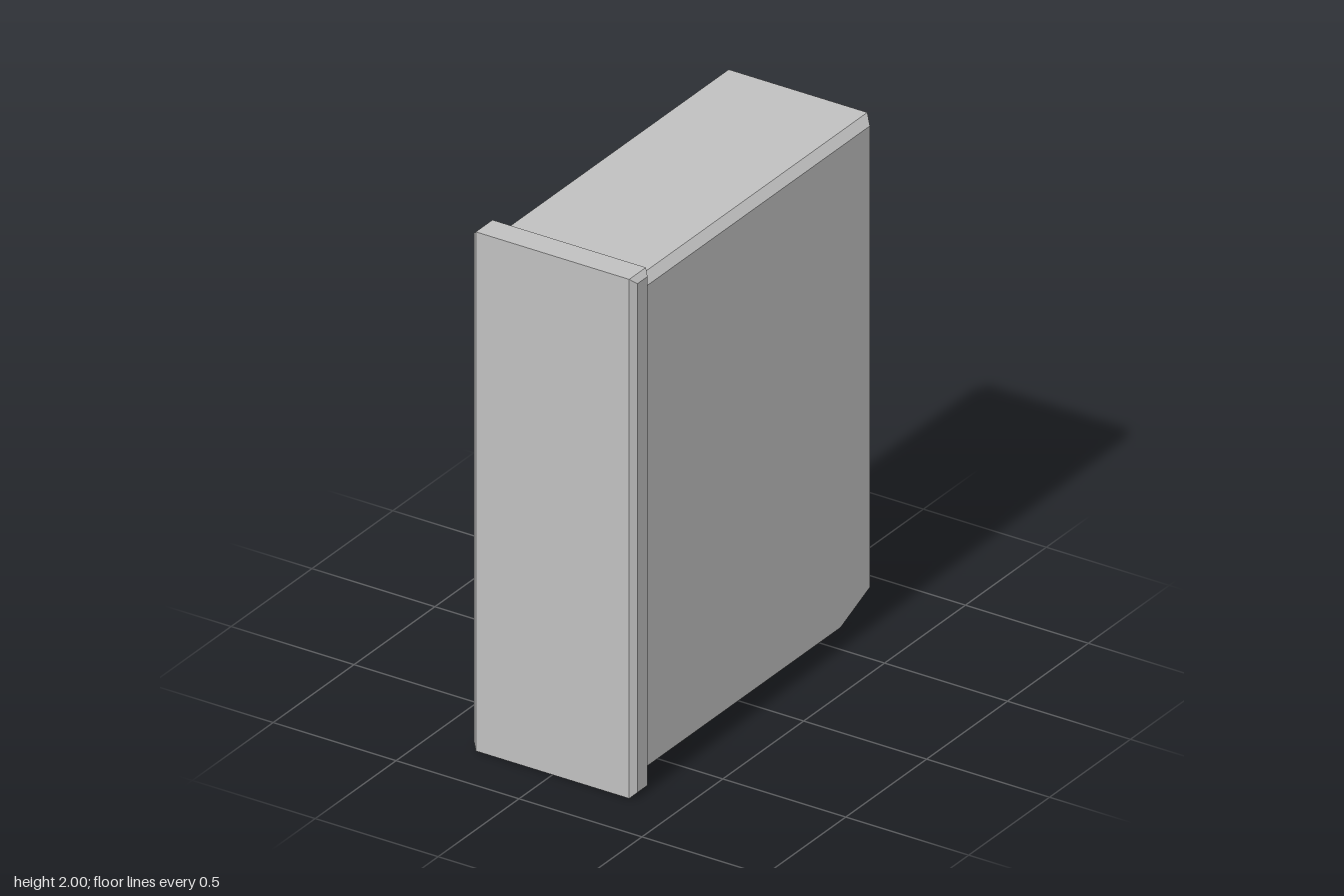
import * as THREE from 'three';

const grey = new THREE.MeshStandardMaterial({ color: 0xc0c0c0 });
grey.name = 'plain grey';

// Slab with a [z, y] outline, spanning -halfWidth..halfWidth in x, side edges chamfered.
function chamferedSlab(name, outline, halfWidth, chamfer) {
  const shape = new THREE.Shape(outline.map(([z, y]) => new THREE.Vector2(z, y)));
  const depth = 2 * (halfWidth - chamfer);
  const geometry = new THREE.ExtrudeGeometry(shape, {
    depth,
    bevelEnabled: true,
    bevelThickness: chamfer,
    bevelSize: chamfer,
    bevelOffset: -chamfer,
    bevelSegments: 1,
  });
  geometry.translate(0, 0, -depth / 2);
  geometry.rotateY(-Math.PI / 2);
  const mesh = new THREE.Mesh(geometry, grey);
  mesh.name = name;
  return mesh;
}

const rectangle = (z0, z1, y0, y1) => [[z0, y0], [z1, y0], [z1, y1], [z0, y1]];

export function createModel() {
  const model = new THREE.Group();
  model.name = 'cartridge';

  // Main body with its lower back corner cut off; its front sinks into the plate
  const body = [[-0.725, 0.13], [-0.52, 0.046], [0.715, 0.046], [0.715, 1.957], [-0.725, 1.957]];
  model.add(chamferedSlab('body', body, 0.312, 0.03));

  // Wider plate across the front
  model.add(chamferedSlab('frontPlate', rectangle(0.69, 0.793, 0, 2), 0.332, 0.02));

  // Raised panel on the back, rooted inside the body
  model.add(chamferedSlab('backPanel', rectangle(-0.793, -0.68, 0.298, 1.835), 0.227, 0.01));

  return model;
}
